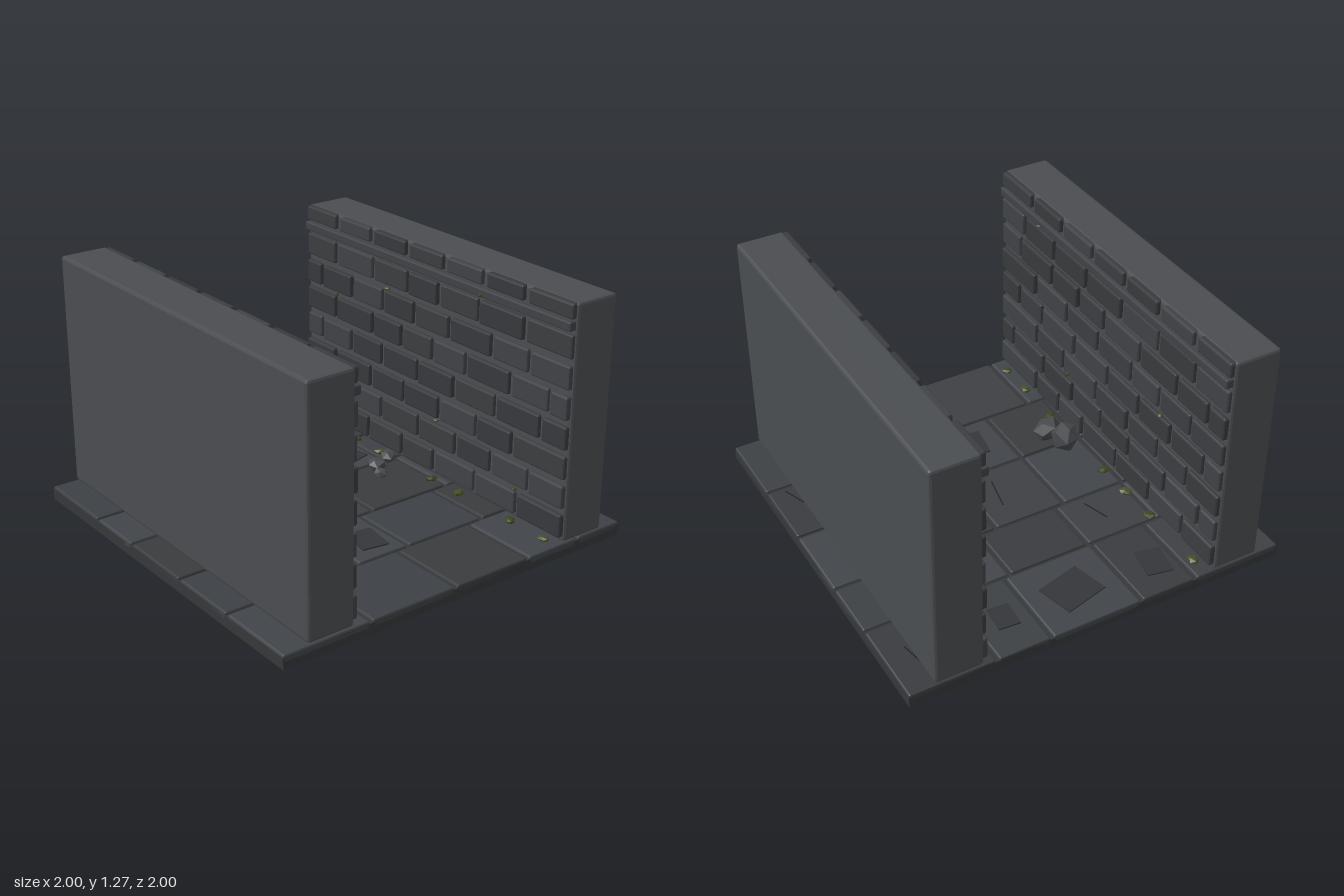
import * as THREE from 'three';
import { RoundedBoxGeometry } from 'three/addons/geometries/RoundedBoxGeometry.js';

const mat = (color) => new THREE.MeshStandardMaterial({ color, flatShading: true });
const wallMat = mat(0x4a4d51);
const brickMats = [0x3b3d40, 0x404246, 0x37393c].map(mat);
const slabMats = [0x3d4044, 0x393b3e, 0x414549].map(mat);
const baseMat = mat(0x35373a);
const chipMat = mat(0x343639);
const crackMat = mat(0x222325);
const rockMat = mat(0x47494c);
const mossMats = [0x435026, 0x3a4522].map(mat);

function seeded(seed) {
  let s = seed;
  return () => (s = (s * 16807) % 2147483647) / 2147483647;
}

// Chamfered block given by its min and max corners
function block(name, [x0, y0, z0], [x1, y1, z1], bevel, material) {
  const geo = new RoundedBoxGeometry(x1 - x0, y1 - y0, z1 - z0, 1, bevel);
  const mesh = new THREE.Mesh(geo, material);
  mesh.position.set((x0 + x1) / 2, (y0 + y1) / 2, (z0 + z1) / 2);
  mesh.name = name;
  return mesh;
}

// Irregular low-poly lump; shared corners move together
function lump(name, x, y, z, sx, sy, sz, seed, material, detail = 0) {
  const geo = new THREE.IcosahedronGeometry(1, detail);
  const p = geo.attributes.position;
  const v = new THREE.Vector3();
  for (let i = 0; i < p.count; i++) {
    v.fromBufferAttribute(p, i);
    const k = 0.92 + 0.16 * Math.sin(v.x * 7.1 + v.y * 5.3 + v.z * 9.7 + seed * 2.3);
    p.setXYZ(i, v.x * k, v.y * k, v.z * k);
  }
  geo.computeVertexNormals();
  const mesh = new THREE.Mesh(geo, material);
  mesh.position.set(x, y, z);
  mesh.scale.set(sx, sy, sz);
  mesh.rotation.y = seed * 1.7;
  mesh.name = name;
  return mesh;
}

function makeFloor() {
  const floor = new THREE.Group();
  floor.name = 'floor';
  const base = new THREE.Mesh(new THREE.BoxGeometry(2, 0.058, 2), baseMat);
  base.position.y = 0.029;
  base.name = 'floorBase';
  floor.add(base);

  // Paving rows: z range and the joints along x
  const rows = [
    [-1, -0.55, [-1, -0.52, -0.215, 0.27, 0.555, 1]],
    [-0.55, -0.23, [-1, -0.6, -0.205, 0.23, 0.535, 1]],
    [-0.23, 0.19, [-1, -0.61, -0.265, 0.125, 0.6, 1]],
    [0.19, 0.575, [-1, -0.62, -0.265, 0.035, 0.5, 1]],
    [0.575, 1, [-1, -0.53, -0.045, 0.4, 0.72, 1]],
  ];
  const g = 0.009;
  const inset = (a) => (Math.abs(a) === 1 ? 0 : g);
  rows.forEach(([z0, z1, xs], r) => {
    for (let i = 0; i < xs.length - 1; i++) {
      floor.add(block('pavingSlab',
        [xs[i] + inset(xs[i]), 0.03, z0 + inset(z0)],
        [xs[i + 1] - inset(xs[i + 1]), 0.071, z1 - inset(z1)],
        0.009, slabMats[(r * 2 + i) % 3]));
    }
  });

  // Thin broken plates on the slabs: x, z, width, depth, turn
  [[-0.41, -0.81, 0.13, 0.17, -0.2], [0.03, -0.78, 0.24, 0.2, 0.25],
    [0.4, -0.78, 0.11, 0.14, -0.08], [0.42, -0.37, 0.14, 0.12, 0.25],
    [-0.09, 0.41, 0.14, 0.18, -0.15]].forEach(([x, z, w, d, a]) => {
    const chip = new THREE.Mesh(new THREE.BoxGeometry(w, 0.008, d), chipMat);
    chip.position.set(x, 0.074, z);
    chip.rotation.y = a;
    chip.name = 'brokenPlate';
    floor.add(chip);
  });

  // Cracks: x, z, length, turn
  [[-0.37, -0.355, 0.15, 0.3], [-0.01, 0, 0.19, -0.2],
    [0.89, 0.48, 0.13, 0.35], [0.87, -0.79, 0.13, 0.2]].forEach(([x, z, l, a]) => {
    const crack = new THREE.Mesh(new THREE.BoxGeometry(0.006, 0.004, l), crackMat);
    crack.position.set(x, 0.072, z);
    crack.rotation.y = a;
    crack.name = 'crack';
    floor.add(crack);
  });
  return floor;
}

// One wall; side is -1 or +1, bricks face the passage
function makeWall(side, name) {
  const wall = new THREE.Group();
  wall.name = name;
  const rnd = seeded(side > 0 ? 71 : 337);
  const span = (n, a, b, y0, y1, z0, z1, bevel, m) => wall.add(block(n,
    [Math.min(side * a, side * b), y0, z0], [Math.max(side * a, side * b), y1, z1], bevel, m));

  span('wallCore', 0.625, 0.87, 0.076, 1.27, -1, 1, 0.014, wallMat);

  // Running-bond brick courses
  for (let r = 0; r < 7; r++) {
    const y = 0.1 + r * 0.15;
    let z = -0.99;
    let end = z + (r % 2 ? 0.14 : 0.26);
    while (z < 0.985) {
      if (end > 0.9) end = 0.99;
      const face = 0.598 + rnd() * 0.01;
      span('brick', face, 0.65, y, y + 0.118, z, end - (end < 0.99 ? 0.025 : 0), 0.009,
        brickMats[Math.floor(rnd() * 3)]);
      z = end;
      end = z + 0.23 + rnd() * 0.09;
    }
  }

  // Ledge and evenly spaced cap bricks
  span('ledge', 0.589, 0.64, 1.137, 1.185, -0.99, 0.99, 0.008, brickMats[1]);
  for (let i = 0; i < 7; i++) {
    const z = -0.99 + i * 0.283;
    span('capBrick', 0.602, 0.65, 1.192, 1.268, z, z + (i < 6 ? 0.245 : 0.282), 0.009,
      brickMats[i % 3]);
  }
  return wall;
}

export function createModel() {
  const model = new THREE.Group();
  model.name = 'stonePassage';
  model.add(makeFloor(), makeWall(-1, 'rightWall'), makeWall(1, 'leftWall'));

  // Fallen rocks: x, y, z, radii
  [[-0.51, 0.14, 0.16, 0.075, 0.085, 0.075], [-0.47, 0.12, 0.28, 0.09, 0.075, 0.075],
    [-0.55, 0.1, 0.24, 0.045, 0.05, 0.06],
    [0.43, 0.105, -0.17, 0.06, 0.036, 0.055], [0.4, 0.09, -0.09, 0.042, 0.03, 0.04],
    [0.54, 0.1, -0.21, 0.05, 0.038, 0.045], [0.48, 0.085, -0.18, 0.035, 0.02, 0.035]]
    .forEach(([x, y, z, a, b, c], i) => model.add(lump('rubble', x, y, z, a, b, c, i + 1, rockMat)));

  // Moss tufts along the foot of each wall
  const tufts = [
    [-1, [-0.89, -0.52, -0.31, -0.11, 0.26, 0.42, 0.69, 0.89]],
    [1, [-0.72, -0.52, -0.31, 0.1, 0.31, 0.69, 0.92]],
  ];
  tufts.forEach(([side, zs]) => zs.forEach((z, i) => model.add(
    lump('moss', side * 0.575, 0.08, z, 0.028, 0.016, 0.04, i * 0.3, mossMats[i % 2]))));

  // Small moss bits on the brickwork
  [[-0.595, 0.69, -0.52], [-0.6, 0.42, 0.3], [-0.59, 1.15, 0.6], [0.59, 0.84, -0.72],
    [0.595, 0.4, 0.1], [0.59, 0.245, 0.69], [0.595, 0.99, -0.3], [0.59, 1.15, 0.4]]
    .forEach(([x, y, z], i) => model.add(
      lump('wallMoss', x, y, z, 0.014, 0.01, 0.018, i, mossMats[i % 2])));

  return model;
}
